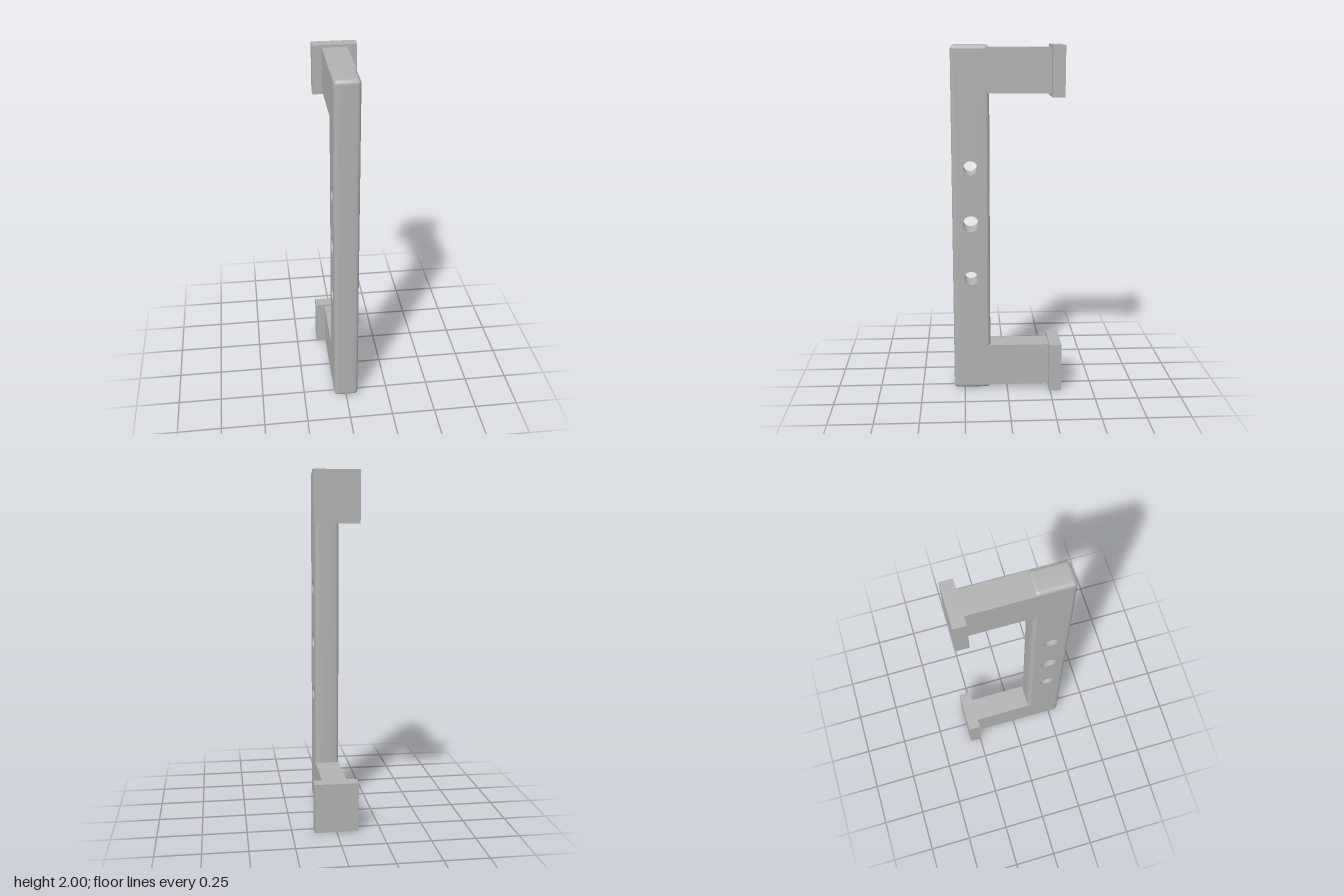
import * as THREE from 'three';
import { toCreasedNormals } from 'three/addons/utils/BufferGeometryUtils.js';

const BAR = { back: 0.099, front: 0.312, bottom: 0.003, top: 2, halfWidth: 0.07, fillet: 0.022 };
const HOLES = [[0.207, 0.682, 0.04], [0.207, 1.004, 0.046], [0.207, 1.325, 0.04]]; // z, y, radius

// Side profile with rounded corners
function barProfile() {
  const { back: a, front: b, bottom: c, top: d } = BAR;
  const r = BAR.fillet + 0.002;
  const shape = new THREE.Shape();
  shape.absarc(b - r, c + r, r, -Math.PI / 2, 0);
  shape.absarc(b - r, d - r, r, 0, Math.PI / 2);
  shape.absarc(a + r, d - r, r, Math.PI / 2, Math.PI);
  shape.absarc(a + r, c + r, r, Math.PI, Math.PI * 1.5);
  for (const [z, y, radius] of HOLES) {
    shape.holes.push(new THREE.Path().absarc(z, y, radius, 0, Math.PI * 2, true));
  }
  return shape;
}

// Filleted bar with straight, sharp-edged cross holes
function barGeometry() {
  const f = BAR.fillet;
  const depth = 2 * (BAR.halfWidth - f);
  const geometry = new THREE.ExtrudeGeometry(barProfile(), {
    depth, curveSegments: 16, bevelThickness: f, bevelSize: f, bevelOffset: -f, bevelSegments: 5,
  });
  // Keep the bevel off the holes: snap their rims back to a constant radius
  const pos = geometry.attributes.position;
  for (let i = 0; i < pos.count; i++) {
    const x = pos.getX(i), y = pos.getY(i);
    for (const [hx, hy, radius] of HOLES) {
      const d = Math.hypot(x - hx, y - hy);
      if (d < 0.075) pos.setXY(i, hx + (x - hx) * radius / d, hy + (y - hy) * radius / d);
    }
  }
  geometry.translate(0, 0, -depth / 2).rotateY(-Math.PI / 2);
  // Enlarged while smoothing so that close fillet points stay distinct
  geometry.scale(100, 100, 100);
  return toCreasedNormals(geometry, 0.6).scale(0.01, 0.01, 0.01);
}

export function createModel() {
  const group = new THREE.Group();
  const grey = new THREE.MeshStandardMaterial({ color: 0xb2b2b2 });
  grey.name = 'grey';

  const add = (name, geometry) => {
    const mesh = new THREE.Mesh(geometry, grey);
    mesh.name = name;
    group.add(mesh);
  };
  const box = (halfX, y0, y1, z0, z1) =>
    new THREE.BoxGeometry(halfX * 2, y1 - y0, z1 - z0).translate(0, (y0 + y1) / 2, (z0 + z1) / 2);

  add('gripBar', barGeometry());

  // Arms run into the bar, ending in mounting plates at the back
  add('upperArm', box(0.07, 1.738, 1.986, -0.25, 0.13));
  add('lowerArm', box(0.07, 0.022, 0.27, -0.25, 0.13));
  add('upperMountingPlate', box(0.124, 1.72, 2, -0.314, -0.244));
  add('lowerMountingPlate', box(0.124, 0, 0.284, -0.314, -0.244));

  return group;
}
